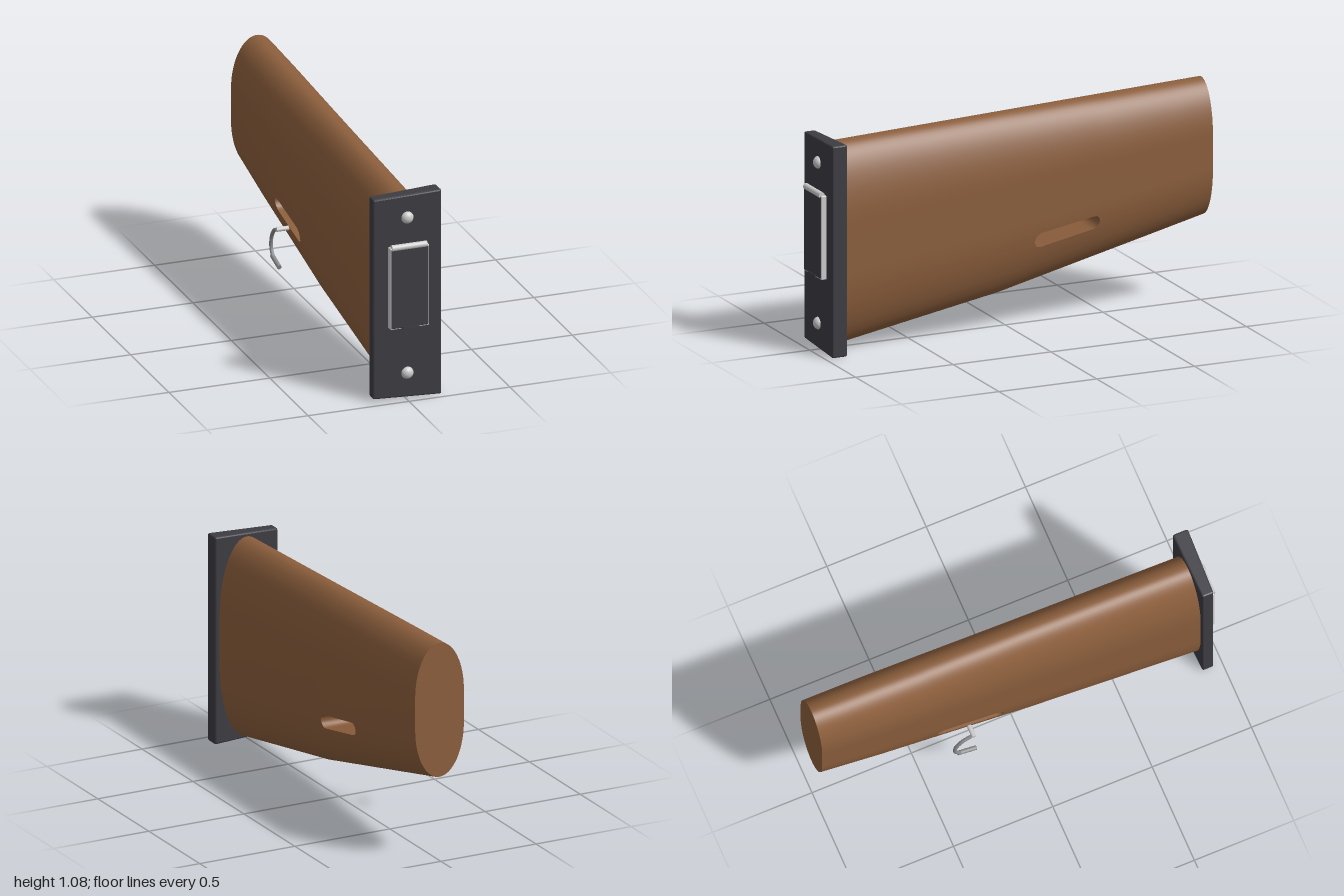
import * as THREE from 'three';
import { mergeVertices } from 'three/addons/utils/BufferGeometryUtils.js';
import { RoundedBoxGeometry } from 'three/addons/geometries/RoundedBoxGeometry.js';

const CX = 0.007, CAP = 0.38; // stock centre line, rounded share of its height
const { lerp } = THREE.MathUtils;

// Piecewise linear lookup through [z, value] points, z falling
function along(points, z) {
  let i = 0;
  while (i < points.length - 2 && z < points[i + 1][0]) i++;
  const [a, b] = [points[i], points[i + 1]];
  return lerp(a[1], b[1], (z - a[0]) / (b[0] - a[0]));
}
const bottom = z => along([[0.9, 0.018], [0.05, 0.17], [-1, 0.42]], z);
const top = z => along([[0.9, 1.0], [-1, 1.08]], z);
const halfWidth = z => along([[0.9, 0.145], [-0.7, 0.136], [-1, 0.128]], z);

// Point on the stock skin: f is the share of the height, side is +1 or -1
function skin(z, f, side) {
  const e = Math.min(f, 1 - f);
  const s = e < CAP ? Math.sqrt(Math.max(0, 1 - (1 - e / CAP) ** 2)) : 1;
  return [CX + side * halfWidth(z) * s, lerp(bottom(z), top(z), f), z];
}

function toGeometry(tris) {
  const g = new THREE.BufferGeometry();
  g.setAttribute('position', new THREE.Float32BufferAttribute(tris.flat(), 3));
  const merged = mergeVertices(g, 1e-5);
  merged.computeVertexNormals();
  return merged;
}

function createStock(material) {
  const group = new THREE.Group();
  group.name = 'stock';
  const N = 20, J0 = 12, I0 = 4, STEPS = 8;
  const zs = [0.9, 0.6, 0.3, 0.05];
  for (let i = 0; i <= STEPS; i++) zs.push(lerp(-0.04, -0.47, i / STEPS));
  zs.push(-0.7, -0.85, -1);
  const fs = [];
  for (let j = 0; j <= N; j++) fs.push(CAP * (1 - Math.cos(j / N * Math.PI / 2)));
  // ease the rounding evenly by angle
  for (let j = 0; j <= N; j++) fs[j] = CAP * (1 - Math.sin((1 - j / N) * Math.PI / 2));
  for (let j = N; j >= 0; j--) fs.push(1 - fs[j]);

  // Rectangle of skin around the slot, and the slot outline, with matching points
  const outer = [], slot = [];
  const zA = -0.12, zB = -0.387, fMid = 0.267, r = 0.033, rf = 0.041;
  const arc = (z, a) => [z - r * Math.cos(a), fMid + rf * Math.sin(a)];
  for (let k = 0; k < STEPS; k++) {
    outer.push([zs[I0 + k], fs[J0]]);
    slot.push([lerp(zA, zB, k / STEPS), fMid - rf]);
  }
  for (let k = 0; k < STEPS; k++) {
    outer.push([zs[I0 + STEPS], fs[J0 + k]]);
    slot.push(arc(zB, (k / STEPS - 0.5) * Math.PI));
  }
  for (let k = 0; k < STEPS; k++) {
    outer.push([zs[I0 + STEPS - k], fs[N]]);
    slot.push([lerp(zB, zA, k / STEPS), fMid + rf]);
  }
  for (let k = 0; k < STEPS; k++) {
    outer.push([zs[I0], fs[N - k]]);
    slot.push(arc(zA, (k / STEPS + 0.5) * Math.PI));
  }

  // Skin with the slot left open on both sides
  const tris = [];
  for (const side of [1, -1]) {
    const quad = (...corners) => {
      const [a, b, c, d] = corners.map(p => skin(p[0], p[1], side));
      if (side > 0) tris.push(...a, ...b, ...c, ...a, ...c, ...d);
      else tris.push(...a, ...c, ...b, ...a, ...d, ...c);
    };
    for (let i = 0; i < zs.length - 1; i++) {
      for (let j = 0; j < fs.length - 1; j++) {
        if (i >= I0 && i < I0 + STEPS && j >= J0 && j < N) continue;
        quad([zs[i], fs[j]], [zs[i + 1], fs[j]], [zs[i + 1], fs[j + 1]], [zs[i], fs[j + 1]]);
      }
    }
    const mix = (k, t) => outer[k].map((v, n) => lerp(v, slot[k][n], t));
    for (let k = 0; k < outer.length; k++) {
      const n = (k + 1) % outer.length;
      for (let s = 0; s < 4; s++) quad(mix(k, s / 4), mix(n, s / 4), mix(n, (s + 1) / 4), mix(k, (s + 1) / 4));
    }
  }
  // Wall of the slot
  const wall = [];
  slot.forEach((p, k) => {
    const q = slot[(k + 1) % slot.length];
    const [a, b, c, d] = [skin(...p, 1), skin(...q, 1), skin(...q, -1), skin(...p, -1)];
    wall.push(...a, ...b, ...c, ...a, ...c, ...d);
  });
  // Flat end faces
  const endFace = (z, facing) => {
    const ring = [...fs.map(f => skin(z, f, 1)), ...fs.slice(1, -1).reverse().map(f => skin(z, f, -1))];
    const out = [];
    ring.forEach((p, k) => {
      const q = ring[(k + 1) % ring.length];
      out.push(...skin(z, 0.5, 0), ...(facing > 0 ? p : q), ...(facing > 0 ? q : p));
    });
    return out;
  };
  const parts = { stockSkin: tris, slingSlot: wall, stockButt: endFace(0.9, 1), stockEnd: endFace(-1, -1) };
  for (const [name, list] of Object.entries(parts)) {
    const mesh = new THREE.Mesh(toGeometry(list), material);
    mesh.name = name;
    group.add(mesh);
  }
  return group;
}

export function createModel() {
  const model = new THREE.Group();
  const paint = color => new THREE.MeshStandardMaterial({ color });
  const wood = paint(0x8b5e3c), dark = paint(0x3c3c42), grey = paint(0xcccccc), steel = paint(0x8c8c8c);
  const add = (name, geometry, material, x = 0, y = 0, z = 0) => {
    const mesh = new THREE.Mesh(geometry, material);
    mesh.name = name;
    mesh.position.set(x, y, z);
    model.add(mesh);
    return mesh;
  };
  model.add(createStock(wood));

  // Butt plate, slightly thicker and taller towards +x
  const plate = new RoundedBoxGeometry(0.335, 1.009, 0.067, 1, 0.008);
  const pos = plate.attributes.position;
  for (let i = 0; i < pos.count; i++) {
    const t = pos.getX(i) / 0.1675;
    pos.setY(i, pos.getY(i) * (1 + 0.0135 * t));
    pos.setZ(i, pos.getZ(i) * (1 + 0.16 * t));
  }
  plate.computeVertexNormals();
  add('buttPlate', plate, dark, 0.0075, 0.513, 0.927);

  // Trapdoor with its rim, hinge and finger notch
  add('trapdoorRim', new RoundedBoxGeometry(0.193, 0.405, 0.04, 2, 0.005), grey, 0.0085, 0.567, 0.97);
  add('trapdoor', new RoundedBoxGeometry(0.182, 0.394, 0.03, 2, 0.003), dark, 0.0085, 0.567, 0.977);
  const hinge = add('trapdoorHinge', new THREE.CylinderGeometry(0.015, 0.015, 0.175, 20), grey, 0.0075, 0.77, 0.982);
  hinge.rotation.z = Math.PI / 2;
  add('trapdoorNotch', new THREE.BoxGeometry(0.08, 0.014, 0.03), dark, 0.0085, 0.368, 0.98);

  // Domed screws
  for (const y of [0.905, 0.13]) {
    const screw = add('plateScrew', new THREE.SphereGeometry(0.03, 24, 16), grey, 0.007, y, 0.958);
    screw.scale.z = 0.85;
  }

  // Sling hook: short peg out of the side, then a curved arm and a foot
  const v = (x, y, z) => new THREE.Vector3(x, y, z);
  const rod = (name, points, radius, material) => {
    const [a, b] = points;
    const mesh = add(name, new THREE.CylinderGeometry(radius, radius, a.distanceTo(b), 12), material);
    mesh.position.copy(a).lerp(b, 0.5);
    mesh.quaternion.setFromUnitVectors(v(0, 1, 0), b.clone().sub(a).normalize());
  };
  rod('hookPeg', [v(-0.11, 0.412, -0.26), v(-0.178, 0.412, -0.26)], 0.011, grey);
  const arm = new THREE.CatmullRomCurve3([
    v(-0.169, 0.412, -0.26), v(-0.169, 0.385, -0.315), v(-0.169, 0.335, -0.348),
    v(-0.169, 0.285, -0.35), v(-0.169, 0.248, -0.325)]);
  add('hookArm', new THREE.TubeGeometry(arm, 32, 0.009, 10), steel);
  rod('hookFoot', [v(-0.168, 0.251, -0.338), v(-0.168, 0.227, -0.245)], 0.011, steel);
  return model;
}
